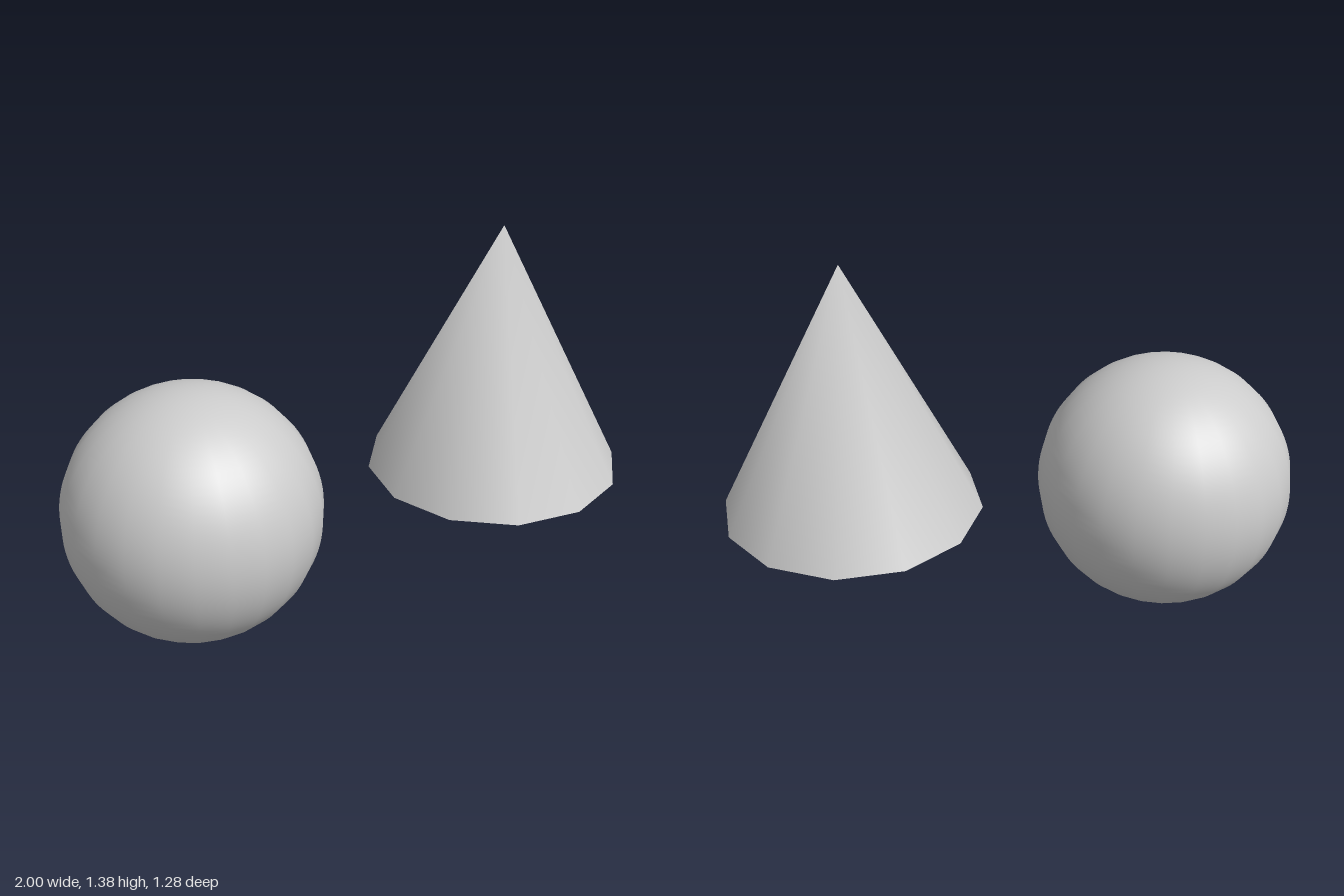
import * as THREE from 'three';
import { mergeVertices } from 'three/addons/utils/BufferGeometryUtils.js';

const R = 0.461; // shared radius; the cone is two radii tall

export function createModel() {
  const group = new THREE.Group();
  const material = new THREE.MeshStandardMaterial({ color: 0xcccccc });

  const add = (name, geometry, x, y, z, parent = group) => {
    const mesh = new THREE.Mesh(geometry, material);
    mesh.name = name;
    mesh.position.set(x, y, z);
    parent.add(mesh);
    return mesh;
  };

  // Ball resting on the ground
  add('sphere', new THREE.SphereGeometry(R, 24, 48), -0.539, R, -0.178);

  // Twelve-sided cone floating with its base level with the ball's centre
  const cone = new THREE.Group();
  cone.name = 'cone';
  cone.position.set(0.539, R, 0.178);
  group.add(cone);

  // Side: welded so that the shading is smooth all the way to the tip
  let side = new THREE.ConeGeometry(R, 2 * R, 12, 1, true);
  side.deleteAttribute('normal');
  side.deleteAttribute('uv');
  side = mergeVertices(side, 1e-4);
  side.computeVertexNormals();
  add('coneSide', side, 0, R, 0, cone);

  // Flat base facing down, with a crisp rim
  add('coneBase', new THREE.CircleGeometry(R, 12).rotateX(Math.PI / 2), 0, 0, 0, cone);

  return group;
}
